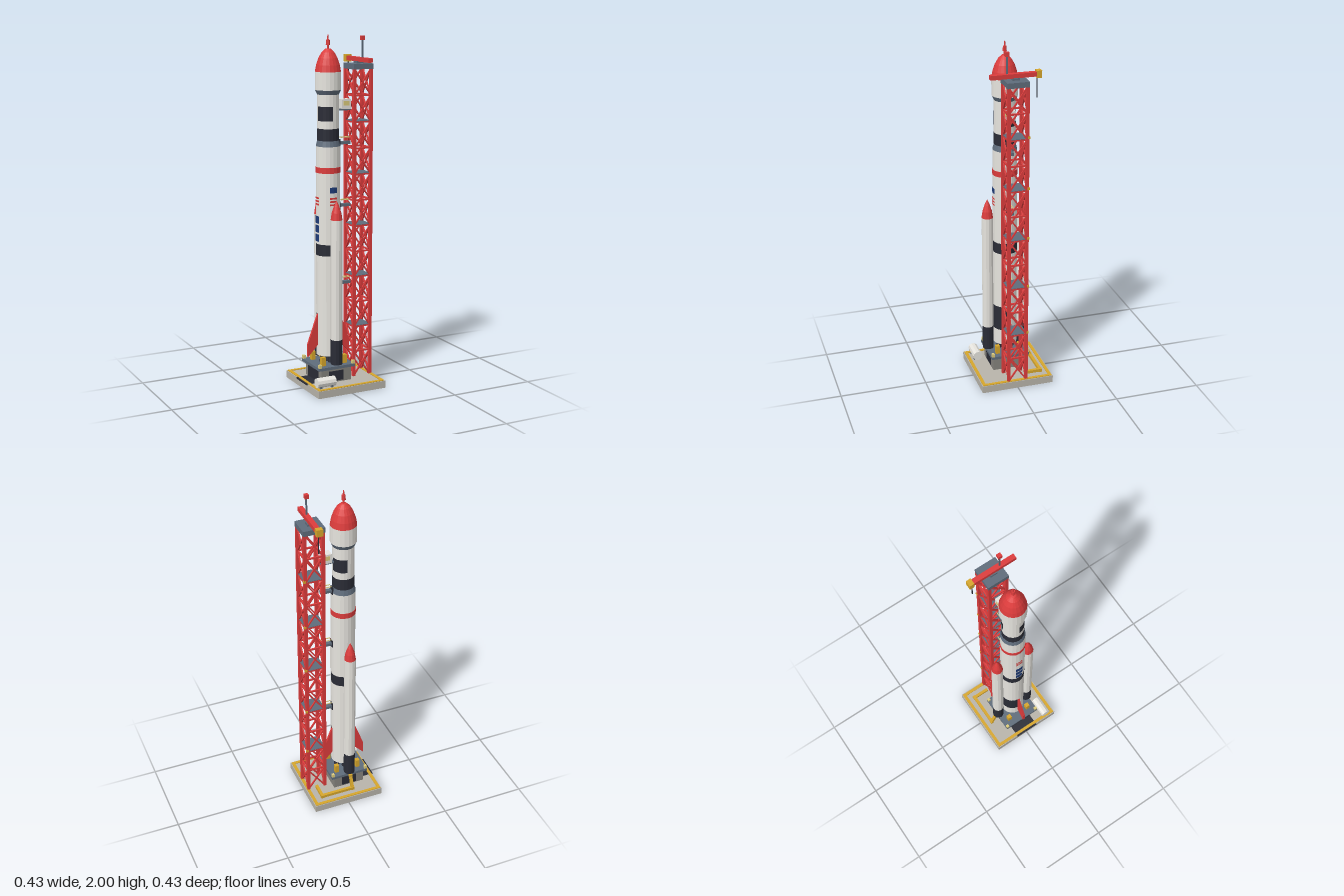
import * as THREE from 'three';

const paint = (name, color) => {
  const m = new THREE.MeshStandardMaterial({ color });
  m.name = name;
  return m;
};

export function createModel() {
  const white = paint('white', 0xe6e4de), red = paint('red', 0xdc3c3c), dark = paint('charcoal', 0x2a2c36);
  const slate = paint('slate', 0x5f6c7b), concrete = paint('concrete', 0xb8b4aa), stone = paint('dark concrete', 0x85837d);
  const yellow = paint('yellow', 0xd6a62c), cream = paint('cream', 0xdccb7c), blue = paint('blue', 0x1f3c78);

  const model = new THREE.Group();
  model.name = 'rocketOnLaunchPad';
  const group = (name, x = 0, y = 0, z = 0, parent = model) => {
    const g = new THREE.Group();
    g.name = name;
    g.position.set(x, y, z);
    parent.add(g);
    return g;
  };
  const add = (parent, name, geo, mat, x = 0, y = 0, z = 0) => {
    const m = new THREE.Mesh(geo, mat);
    m.name = name;
    m.position.set(x, y, z);
    parent.add(m);
    return m;
  };
  // box given by its extents
  const box = (parent, name, mat, x0, x1, y0, y1, z0, z1) =>
    add(parent, name, new THREE.BoxGeometry(x1 - x0, y1 - y0, z1 - z0), mat, (x0 + x1) / 2, (y0 + y1) / 2, (z0 + z1) / 2);
  // faceted normals
  const facet = (geo) => {
    const g = geo.toNonIndexed();
    g.computeVertexNormals();
    return g;
  };
  // faceted upright section, optionally only an arc of it
  const section = (parent, name, mat, y0, y1, r0, r1 = r0, sides = 20, start = 0, arc = Math.PI * 2) =>
    add(parent, name, facet(new THREE.CylinderGeometry(r1, r0, y1 - y0, sides, 1, arc < 6, start, arc)), mat, 0, (y0 + y1) / 2, 0);
  const lathe = (parent, name, mat, pts, sides) =>
    add(parent, name, facet(new THREE.LatheGeometry(pts.map((p) => new THREE.Vector2(...p)), sides)), mat);
  // square bar between two points
  const bar = (parent, name, mat, a, b, w) => {
    const p = new THREE.Vector3(...a), q = new THREE.Vector3(...b), d = q.clone().sub(p);
    const m = add(parent, name, new THREE.BoxGeometry(w, d.length(), w), mat);
    m.position.copy(p).add(q).multiplyScalar(0.5);
    m.quaternion.setFromUnitVectors(new THREE.Vector3(0, 1, 0), d.normalize());
    return m;
  };

  // ---- pad with painted border and flame trench
  const pad = group('launchPad');
  box(pad, 'slab', concrete, -0.213, 0.213, 0, 0.042, -0.213, 0.213);
  for (const s of [-1, 1]) {
    box(pad, 'borderStripe', yellow, -0.208, 0.208, 0.042, 0.046, s * 0.199 - 0.009, s * 0.199 + 0.009);
    box(pad, 'borderStripe', yellow, s * 0.199 - 0.009, s * 0.199 + 0.009, 0.042, 0.046, -0.19, 0.19);
  }
  box(pad, 'flameTrench', dark, -0.217, -0.13, 0.036, 0.044, -0.071, 0.071);

  // ---- launch table
  const CX = -0.046;
  const table = group('launchTable', CX, 0, 0);
  box(table, 'pedestal', stone, -0.095, 0.095, 0.042, 0.122, -0.1, 0.1);
  box(table, 'tableTop', slate, -0.114, 0.114, 0.122, 0.138, -0.114, 0.114);
  for (const s of [-1, 1]) {
    box(table, 'ventOpening', dark, -0.045, 0.045, 0.05, 0.108, s * 0.1 - 0.003, s * 0.1 + 0.003);
    for (const t of [-1, 1]) {
      add(table, 'cornerLamp', new THREE.BoxGeometry(0.016, 0.02, 0.016), cream, s * 0.105, 0.148, t * 0.105);
      add(table, 'holdDownClamp', new THREE.BoxGeometry(0.024, 0.05, 0.024), yellow, s * 0.067, 0.163, t * 0.067);
    }
  }
  box(table, 'flameOpening', dark, -0.098, -0.092, 0.046, 0.108, -0.065, 0.065);

  // ---- storage tank
  const tank = group('storageTank', -0.142, 0.073, 0.156);
  add(tank, 'tankShell', facet(new THREE.CylinderGeometry(0.028, 0.028, 0.114, 10)), white).rotation.z = Math.PI / 2;
  for (const s of [-1, 1]) box(tank, 'saddle', slate, s * 0.035 - 0.006, s * 0.035 + 0.006, -0.031, -0.015, -0.02, 0.02);

  // ---- supply pipe running round the back of the pad
  const pipe = group('supplyPipe');
  const route = [[0.148, 0.056, -0.06], [0.148, 0.056, -0.155], [CX, 0.056, -0.155], [CX, 0.13, -0.125], [CX, 0.13, -0.08]];
  for (let i = 1; i < route.length; i++) bar(pipe, 'pipeRun', yellow, route[i - 1], route[i], 0.017);
  for (const p of route.slice(1, 4)) add(pipe, 'pipeJoint', new THREE.BoxGeometry(0.02, 0.02, 0.02), yellow, ...p);

  // ---- rocket core: bottom to top
  const rocket = group('rocket', CX, 0, 0);
  const R = 0.069, Q = Math.PI / 2;
  const quarters = (name, y0, y1, r, mats) =>
    mats.forEach((m, i) => section(rocket, name, m, y0, y1, r, r, 5, i * Q, Q));
  section(rocket, 'tailSection', white, 0.185, 0.28, R);
  quarters('checkeredTail', 0.28, 0.43, R, [dark, white, dark, white]);
  section(rocket, 'lowerStage', white, 0.43, 0.77, R);
  section(rocket, 'darkBand', dark, 0.77, 0.835, R);
  section(rocket, 'middleStage', white, 0.835, 1.24, R);
  section(rocket, 'redBand', red, 1.24, 1.272, 0.071);
  section(rocket, 'shoulder', white, 1.272, 1.388, R);
  section(rocket, 'interstage', slate, 1.388, 1.42, R, 0.061);
  section(rocket, 'upperDarkBand', dark, 1.42, 1.487, 0.061);
  section(rocket, 'upperStage', white, 1.487, 1.53, 0.061);
  quarters('checkeredUpperStage', 1.53, 1.61, 0.061, [white, dark, white, dark]);
  section(rocket, 'upperStageTop', white, 1.61, 1.675, 0.061);
  section(rocket, 'payloadAdapter', slate, 1.675, 1.7, 0.061, 0.073);
  section(rocket, 'payloadFairing', white, 1.7, 1.8, 0.073);
  lathe(rocket, 'noseCone', red, [[0.073, 1.8], [0.066, 1.837], [0.053, 1.875], [0.036, 1.905], [0.016, 1.924], [0, 1.927]], 20);
  section(rocket, 'escapeNeck', red, 1.92, 1.948, 0.006, 0.006, 6);
  section(rocket, 'escapeMotor', red, 1.945, 1.973, 0.012, 0.01, 6);
  section(rocket, 'escapeSpike', red, 1.973, 2, 0.005, 0.003, 6);

  // engine bells
  for (const [x, z] of [[0, 0], [0.036, 0], [-0.036, 0], [0, 0.036], [0, -0.036]])
    section(rocket, 'engineBell', dark, 0.142, 0.187, 0.019, 0.011, 10).position.set(x, 0.1645, z);

  // painted markings, following the hull facets
  const mark = (name, mat, angle, y0, y1) =>
    section(rocket, name, mat, y0, y1, 0.071, 0.071, 2, angle - Math.PI / 10, Math.PI / 5);
  mark('bluePanel', blue, 0, 1.13, 1.162);
  for (const a of [0, Q * 3]) for (let i = 0; i < 3; i++) mark('redStripe', red, a, 1.058 + i * 0.018, 1.068 + i * 0.018);
  for (let i = 0; i < 3; i++) mark('bluePanel', blue, Q * 3, 0.85 + i * 0.052, 0.892 + i * 0.052);

  // side fins
  const finShape = new THREE.Shape([[0.06, 0.44], [0.068, 0.43], [0.132, 0.255], [0.132, 0.18], [0.06, 0.255]].map((p) => new THREE.Vector2(...p)));
  for (const s of [0, 1]) {
    const holder = group('fin', 0, 0, 0, rocket);
    holder.rotation.y = s * Math.PI;
    add(holder, 'finBlade', new THREE.ExtrudeGeometry(finShape, { depth: 0.014, bevelEnabled: false }), red, 0, 0, -0.007);
  }

  // strap-on boosters
  for (const s of [-1, 1]) {
    const b = group('booster', 0, 0, s * 0.104, rocket);
    section(b, 'boosterSkirt', dark, 0.15, 0.295, 0.033, 0.033, 12);
    section(b, 'boosterBody', white, 0.295, 0.985, 0.033, 0.033, 12);
    lathe(b, 'boosterNose', red, [[0.033, 0.985], [0.027, 1.025], [0.015, 1.062], [0, 1.095]], 12);
  }

  // ---- service tower: four legs, cross braces and floors
  const tower = group('serviceTower', 0.144, 0, 0);
  const H = 0.052, Y0 = 0.042, BAYS = 12, STEP = (1.812 - Y0) / BAYS;
  for (const x of [-H, H]) for (const z of [-H, H]) box(tower, 'leg', red, x - 0.009, x + 0.009, Y0, 1.812, z - 0.009, z + 0.009);
  for (let side = 0; side < 4; side++) {
    const face = group('bracedSide', 0, 0, 0, tower);
    face.rotation.y = side * Q;
    for (let i = 0; i < BAYS; i++) {
      const a = Y0 + i * STEP, b = a + STEP;
      bar(face, 'brace', red, [-H, a, H], [H, b, H], 0.008);
      bar(face, 'brace', red, [H, a, H], [-H, b, H], 0.008);
      if (i) bar(face, 'crossbar', red, [-H, a, H], [H, a, H], 0.009);
    }
  }
  for (let i = 2; i < BAYS; i += 2) {
    const y = Y0 + i * STEP;
    box(tower, 'floor', slate, -0.055, 0.055, y - 0.005, y + 0.007, -0.055, 0.055);
    add(tower, 'warningLamp', new THREE.BoxGeometry(0.012, 0.014, 0.012), yellow, 0.058, y + 0.014, -0.058);
  }
  box(tower, 'topPlatform', slate, -0.062, 0.062, 1.81, 1.84, -0.062, 0.062);

  // crane and mast
  box(tower, 'cranePost', slate, -0.02, 0.02, 1.84, 1.852, -0.02, 0.02);
  box(tower, 'craneBeam', red, -0.014, 0.014, 1.85, 1.874, -0.116, 0.14);
  box(tower, 'craneHead', yellow, -0.018, 0.018, 1.842, 1.882, -0.143, -0.115);
  bar(tower, 'craneCable', dark, [0, 1.73, -0.121], [0, 1.845, -0.121], 0.005);
  bar(tower, 'mast', slate, [0, 1.87, 0.047], [0, 1.972, 0.047], 0.008);
  box(tower, 'mastBeacon', red, -0.011, 0.011, 1.97, 1.993, 0.036, 0.058);

  // swing arms and access cabin
  const arms = group('swingArms');
  for (const y of [0.595, 1.045, 1.4]) {
    box(arms, 'armDeck', slate, 0.024, 0.09, y - 0.008, y + 0.008, -0.012, 0.012);
    for (const z of [-0.011, 0.011]) bar(arms, 'handrail', cream, [0.028, y + 0.031, z], [0.088, y + 0.031, z], 0.004);
    box(arms, 'umbilicalPlate', dark, 0.016, 0.026, y - 0.022, y + 0.022, -0.014, 0.014);
  }
  box(arms, 'cabinDeck', slate, 0.015, 0.09, 1.582, 1.592, -0.018, 0.018);
  box(arms, 'accessCabin', white, 0.03, 0.085, 1.59, 1.645, -0.023, 0.023);
  for (const s of [-1, 1]) box(arms, 'cabinWindow', cream, 0.04, 0.074, 1.61, 1.635, s * 0.023 - 0.002, s * 0.023 + 0.002);

  return model;
}
